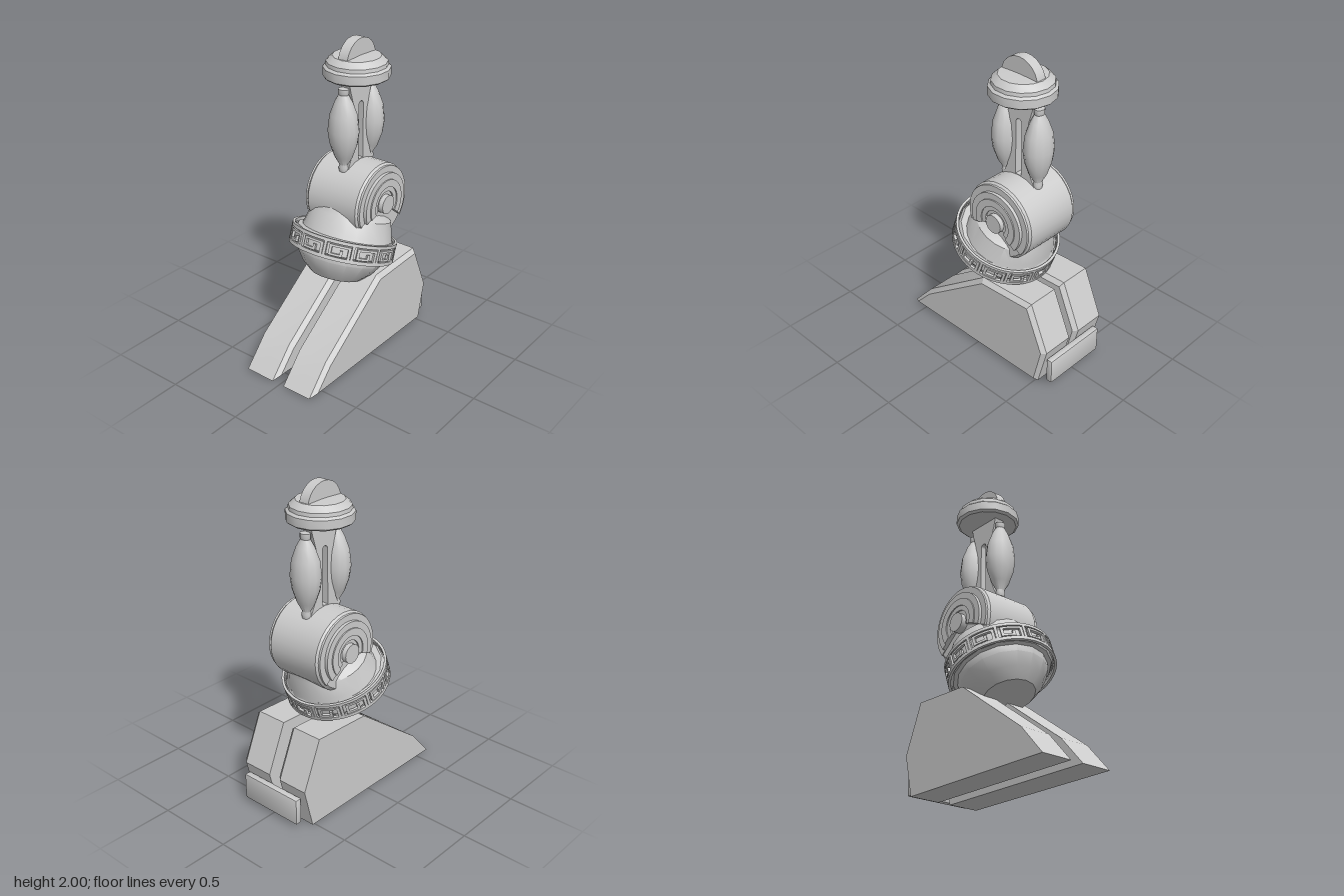
import * as THREE from 'three';
import { mergeGeometries, toCreasedNormals } from 'three/addons/utils/BufferGeometryUtils.js';
import { ConvexGeometry } from 'three/addons/geometries/ConvexGeometry.js';
import { RoundedBoxGeometry } from 'three/addons/geometries/RoundedBoxGeometry.js';

const grey = new THREE.MeshStandardMaterial({ color: 0xcccccc });
grey.name = 'plainGrey';

const CENTRE_Z = -0.145; // centre line of everything above the base

function part(name, geometry, crease = 0.6) {
  const mesh = new THREE.Mesh(toCreasedNormals(geometry, crease), grey);
  mesh.name = name;
  return mesh;
}

function lathe(points, segments) {
  return new THREE.LatheGeometry(points.map(([r, y]) => new THREE.Vector2(r, y)), segments);
}

// Extrudes a shape drawn in (z, y) symmetrically across x
function sideExtrude(shape, width, curveSegments = 12) {
  const g = new THREE.ExtrudeGeometry(shape, { depth: width, bevelEnabled: false, curveSegments });
  return g.translate(0, 0, -width / 2).rotateY(-Math.PI / 2);
}

// Curved bar around the y axis
function arcBar(a0, a1, y0, y1, inner = 0.314, outer = 0.33) {
  const s = new THREE.Shape();
  s.absarc(0, 0, outer, a0, a1, false);
  s.absarc(0, 0, inner, a1, a0, true);
  const g = new THREE.ExtrudeGeometry(s, { depth: y1 - y0, bevelEnabled: false, curveSegments: a1 - a0 > 1 ? 48 : 3 });
  return g.rotateX(-Math.PI / 2).translate(0, y0, 0);
}

// Wedge foot with a chamfer on its +x side
function foot(x0, x1) {
  const outline = [[0.61, 0], [0.45, 0.18], [-0.05, 0.55], [-0.45, 0.565], [-0.58, 0.26], [-0.515, 0]];
  const inset = [[0.56, 0.025], [0.44, 0.155], [-0.06, 0.522], [-0.435, 0.54], [-0.555, 0.26], [-0.5, 0.025]];
  const at = (list, x) => list.map(([z, y]) => new THREE.Vector3(x, y, z));
  return new ConvexGeometry([...at(outline, x0), ...at(outline, x1 - 0.027), ...at(inset, x1)]);
}

export function createModel() {
  const model = new THREE.Group();
  model.name = 'model';

  // Base: two feet and a heel plate
  model.add(part('rightFoot', foot(-0.26, -0.03), 0.35), part('leftFoot', foot(0.03, 0.26), 0.35));
  const heel = part('heelPlate', new RoundedBoxGeometry(0.435, 0.17, 0.043, 1, 0.008));
  heel.position.set(0, 0.112, -0.588);
  model.add(heel);

  // Tilted bowl, neck and key-pattern ring
  const body = new THREE.Group();
  body.name = 'tiltedBody';
  body.position.set(0, 0.73, -0.015);
  body.rotation.x = -0.353;
  model.add(body);

  const bowl = part('bowl', lathe([[0, -0.225], [0.16, -0.22], [0.22, -0.165], [0.268, -0.095], [0.275, -0.055],
    [0.3, -0.05], [0.312, -0.035], [0.312, 0.035], [0.298, 0.055], [0, 0.055]], 16), 0.5);
  const neck = part('neck', lathe([[0.295, 0.03], [0.28, 0.08], [0.256, 0.18], [0.23, 0.24], [0.23, 0.31], [0, 0.31]], 24));

  // The neck narrows across x toward its top so it tucks under the barrel
  const p = neck.geometry.attributes.position;
  for (let i = 0; i < p.count; i++) {
    const t = THREE.MathUtils.smoothstep(p.getY(i), 0.17, 0.3);
    p.setX(i, p.getX(i) * (1 - 0.5 * t));
    p.setZ(i, p.getZ(i) * 0.95 - 0.025);
  }
  neck.geometry = toCreasedNormals(neck.geometry, 0.6);
  body.add(bowl, neck);

  const bars = [arcBar(0, Math.PI * 2 - 0.0001, 0.042, 0.062), arcBar(0, Math.PI * 2 - 0.0001, -0.062, -0.04)];
  const keys = 12, pitch = Math.PI * 2 / keys;
  for (let i = 0; i < keys; i++) {
    const a = -Math.PI / 2 - pitch / 2 + i * pitch;
    const bar = (u0, u1, y0, y1) => bars.push(arcBar(a + u0 * pitch, a + u1 * pitch, y0, y1));
    bar(0, 0.1, -0.045, 0.046);        // divider
    bar(0.2, 0.88, 0.02, 0.034);       // hook top
    bar(0.2, 0.3, -0.034, 0.02);       // hook side
    bar(0.3, 0.7, -0.034, -0.02);      // hook base
    bar(0.6, 0.7, -0.02, 0.004);       // hook end
    bar(0.88, 0.98, -0.045, 0.034);    // right stem
  }
  body.add(part('keyPatternRing', mergeGeometries(bars)));

  // Barrel joint with stepped side plates, open toward the neck
  const joint = new THREE.Group();
  joint.name = 'barrelJoint';
  joint.position.set(0, 1.0, CENTRE_Z);
  model.add(joint);
  const barrel = lathe([[0, -0.2], [0.228, -0.2], [0.247, -0.178], [0.247, 0.178], [0.228, 0.2], [0, 0.2]], 28);
  joint.add(part('barrel', barrel.rotateZ(Math.PI / 2)));
  const DEG = Math.PI / 180;
  for (const [outer, inner, width] of [[0.235, 0.18, 0.41], [0.195, 0.145, 0.45], [0.155, 0.11, 0.465], [0.12, 0.08, 0.45], [0.09, 0.02, 0.43]]) {
    const s = new THREE.Shape();
    s.absarc(0, 0, outer, -20 * DEG, 220 * DEG, false);
    s.absarc(0, 0, inner, 220 * DEG, -20 * DEG, true);
    joint.add(part('sidePlate', sideExtrude(s, width, 20)));
  }
  joint.add(part('hub', new THREE.CylinderGeometry(0.06, 0.06, 0.49, 16).rotateZ(Math.PI / 2)));

  // Slotted upright plate
  const arm = new THREE.Shape();
  const half = [[0.13, 1.2], [0.09, 1.28], [0.07, 1.38], [0.06, 1.5], [0.075, 1.62], [0.1, 1.7], [0.12, 1.78]];
  arm.setFromPoints([...half.map(([z, y]) => new THREE.Vector2(z, y)),
    ...half.slice().reverse().map(([z, y]) => new THREE.Vector2(-z, y))]);
  const slot = new THREE.Path();
  slot.moveTo(-0.022, 1.25);
  slot.lineTo(0.022, 1.25);
  slot.lineTo(0.022, 1.595);
  slot.absarc(0, 1.595, 0.022, 0, Math.PI, false);
  slot.lineTo(-0.022, 1.25);
  arm.holes.push(slot);
  const plate = part('uprightPlate', sideExtrude(arm, 0.066));
  plate.position.z = CENTRE_Z;
  model.add(plate);

  // Spindles in front of and behind the plate
  for (const side of [1, -1]) {
    const spindle = part(side > 0 ? 'frontSpindle' : 'backSpindle', lathe([[0, 1.2], [0.022, 1.2], [0.027, 1.225], [0.022, 1.245],
      [0.05, 1.3], [0.074, 1.38], [0.084, 1.46], [0.074, 1.56], [0.048, 1.64], [0.026, 1.685], [0.028, 1.69], [0.028, 1.72], [0, 1.72]], 14), 0.7);
    spindle.scale.x = 1.2;
    spindle.position.z = CENTRE_Z + side * 0.126;
    model.add(spindle);
  }

  // Round cap with a fin on top
  const cap = part('cap', lathe([[0, 1.76], [0.185, 1.76], [0.201, 1.772], [0.201, 1.825], [0.185, 1.838],
    [0.182, 1.86], [0.145, 1.893], [0, 1.9]], 14), 0.45);
  cap.position.z = CENTRE_Z;
  const dome = new THREE.Shape();
  dome.absellipse(0, 1.865, 0.137, 0.135, 0, Math.PI, false, 0);
  const fin = part('fin', sideExtrude(dome, 0.066, 6), 0.7);
  fin.position.z = CENTRE_Z;
  model.add(cap, fin);

  return model;
}
